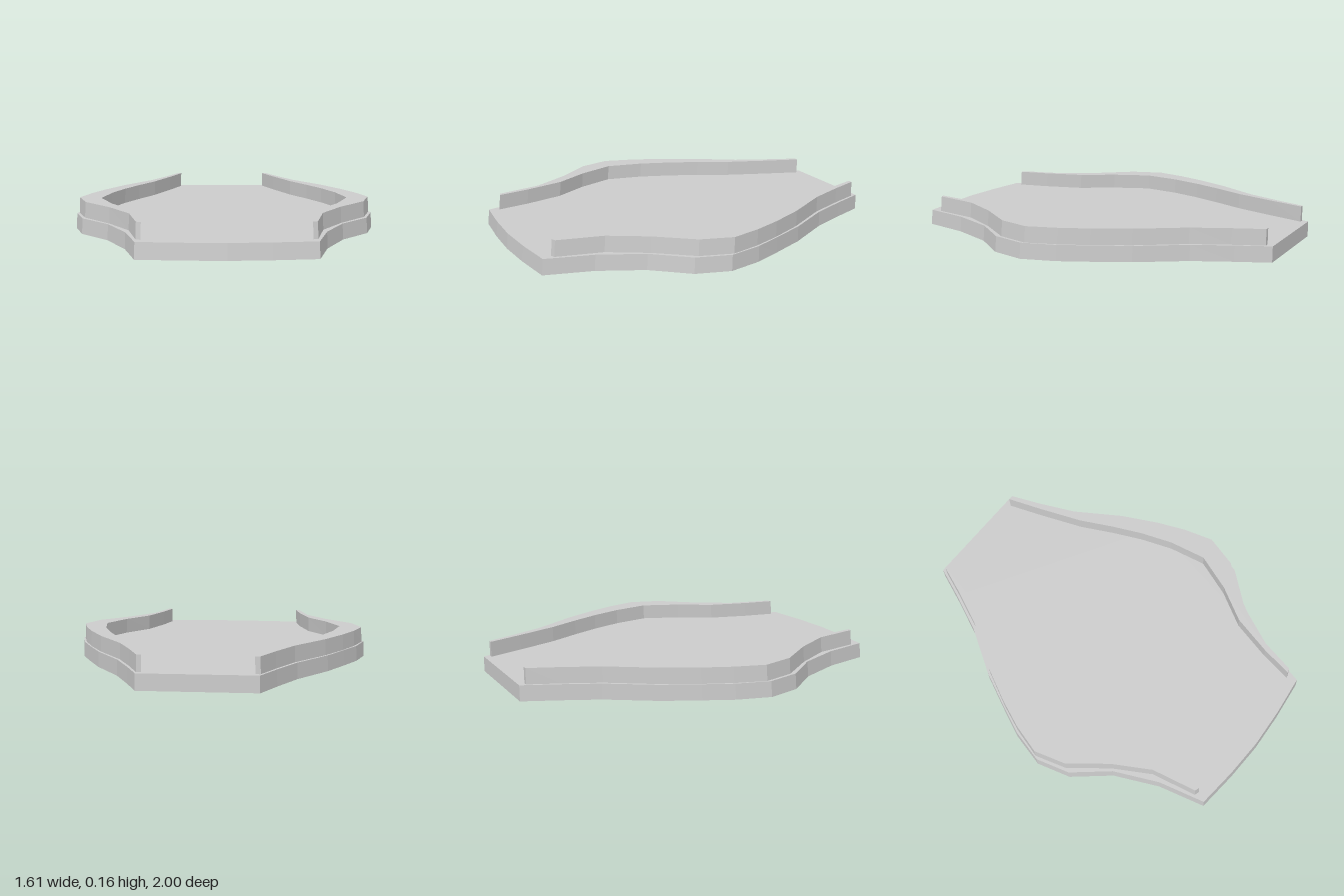
import * as THREE from 'three';

const material = new THREE.MeshStandardMaterial({ color: 0xcccccc, flatShading: true });

// Half outline of the base plate as [x, z], back to front
const plateSide = [
  [0.29, -1], [0.36, -0.83], [0.45, -0.63], [0.6, -0.39], [0.69, -0.2], [0.757, -0.05],
  [0.803, 0.13], [0.752, 0.31], [0.6, 0.49], [0.493, 0.72], [0.43, 0.967], [0.21, 0.99],
];

// Rail edges: slim at both ends, wide at the waist
const railOuter = [
  [0.29, -0.965], [0.352, -0.81], [0.437, -0.62], [0.587, -0.385], [0.68, -0.2], [0.742, -0.05],
  [0.788, 0.11], [0.738, 0.28], [0.592, 0.465], [0.478, 0.66], [0.427, 0.9],
];
const railInner = [
  [0.265, -0.965], [0.33, -0.78], [0.415, -0.555], [0.5, -0.385], [0.57, -0.23], [0.63, -0.06],
  [0.668, 0.14], [0.592, 0.34], [0.487, 0.52], [0.432, 0.735], [0.403, 0.908],
];

const mirror = (points) => points.map(([x, z]) => [-x, z]);

// Upright slab from a plan outline, its top drawn in slightly towards the back
function slab(name, outline, y0, y1) {
  const shape = new THREE.Shape(outline.map(([x, z]) => new THREE.Vector2(x, -z)));
  const geometry = new THREE.ExtrudeGeometry(shape, { depth: y1 - y0, bevelEnabled: false });
  geometry.rotateX(-Math.PI / 2).translate(0, y0, 0);
  const p = geometry.attributes.position;
  for (let i = 0; i < p.count; i++) {
    if (p.getY(i) < (y0 + y1) / 2) continue;
    p.setX(i, p.getX(i) * 0.995);
    p.setZ(i, -1 + (p.getZ(i) + 1) * 0.996);
  }
  geometry.computeVertexNormals();
  const mesh = new THREE.Mesh(geometry, material);
  mesh.name = name;
  return mesh;
}

export function createModel() {
  const model = new THREE.Group();
  model.name = 'railedPlate';

  // Base plate with a bowed front edge
  const plate = [...plateSide, [0, 1], ...mirror(plateSide).reverse()];
  model.add(slab('basePlate', plate, 0, 0.082));

  // Raised rails along both sides
  const rail = [...railOuter, ...[...railInner].reverse()];
  model.add(slab('leftRail', rail, 0.082, 0.165));
  model.add(slab('rightRail', mirror(rail), 0.082, 0.165));

  return model;
}
